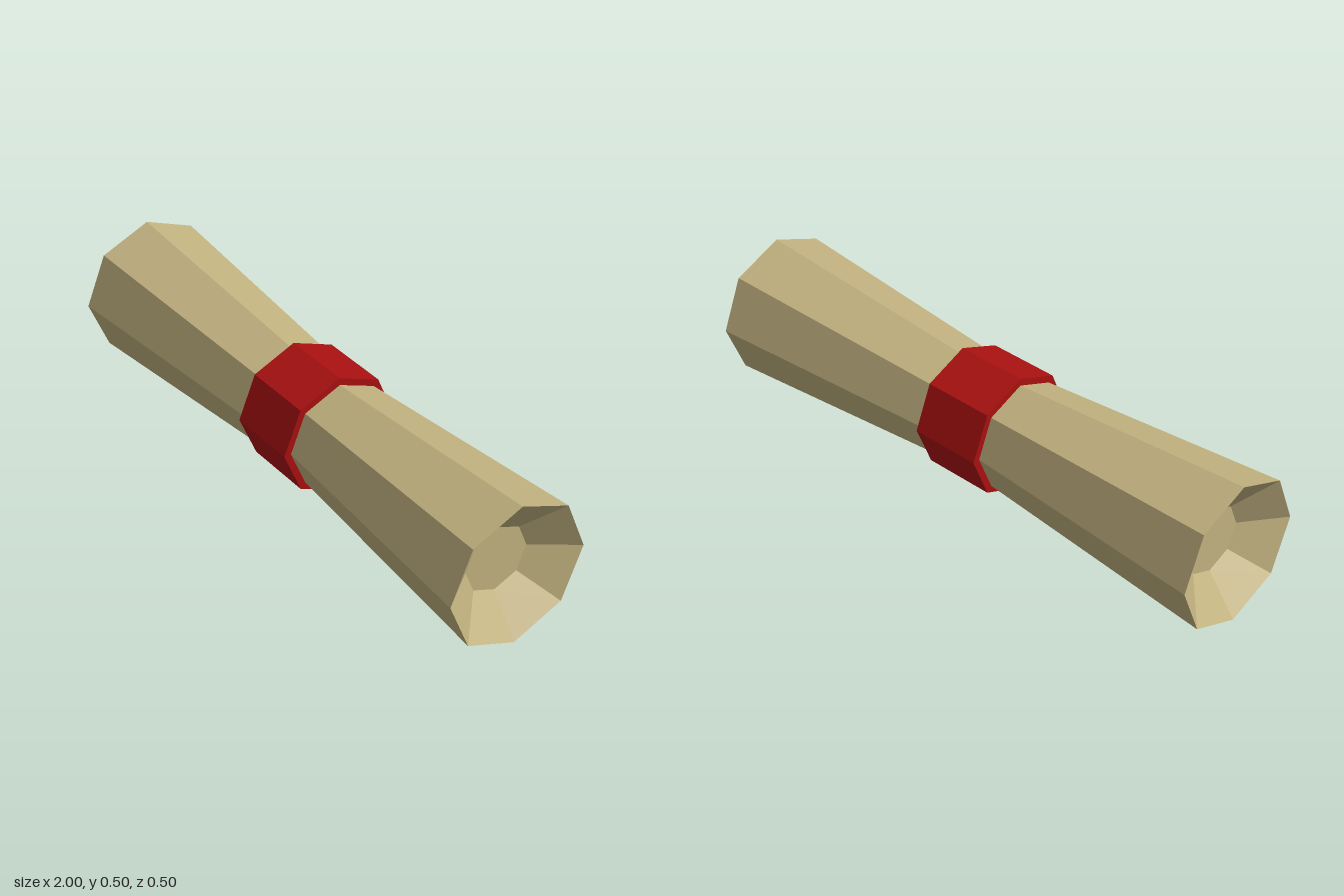
import * as THREE from 'three';

const SIDES = 8;

// Eight-sided solid of revolution lying along x; profile is [radius, x] pairs
function turned(name, profile, material) {
  const points = profile.map(([r, x]) => new THREE.Vector2(r, x));
  const geometry = new THREE.LatheGeometry(points, SIDES);
  geometry.rotateZ(-Math.PI / 2);
  const mesh = new THREE.Mesh(geometry, material);
  mesh.name = name;
  mesh.position.y = 0.25;
  return mesh;
}

export function createModel() {
  const parchment = new THREE.MeshStandardMaterial({ color: 0xc2b280, flatShading: true });
  parchment.name = 'parchment';
  const red = new THREE.MeshStandardMaterial({ color: 0xaa1111, flatShading: true });
  red.name = 'ribbon red';

  const group = new THREE.Group();
  group.name = 'scroll';

  // Rolled sheet, pinched at the waist, with a funnel sunk into each end
  group.add(turned('rolledSheet', [
    [0, -0.9], [0.115, -0.9], [0.25, -1],
    [0.187, -0.125], [0.187, 0.125],
    [0.25, 1], [0.115, 0.9], [0, 0.9],
  ], parchment));

  // Ribbon band around the waist
  const w = 0.125;
  group.add(turned('ribbon', [
    [0.18, -w], [0.212, -w], [0.212, w], [0.18, w],
  ], red));

  return group;
}
